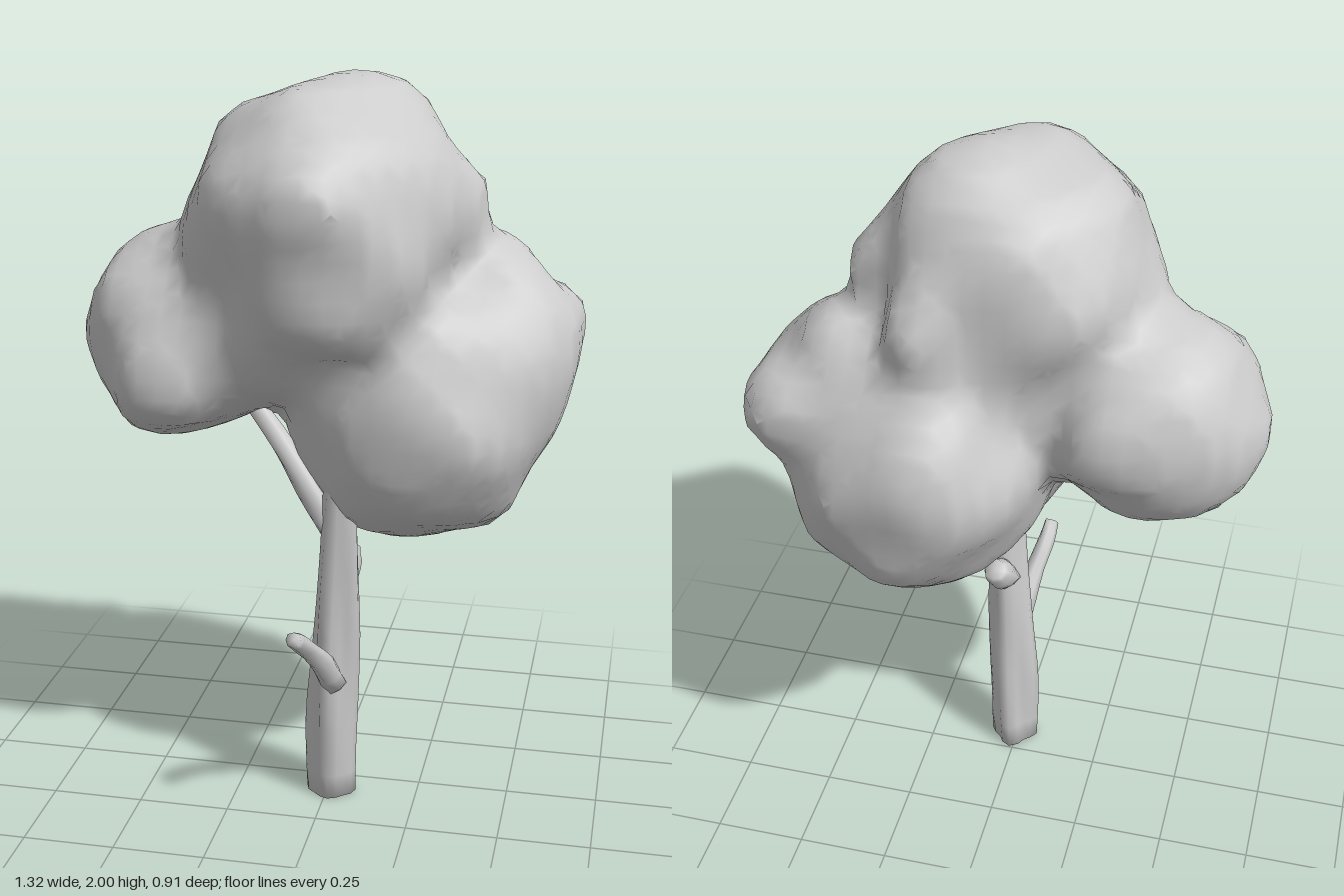
import * as THREE from 'three';

const bark = new THREE.MeshStandardMaterial({ color: 0xcccccc });
const leaves = new THREE.MeshStandardMaterial({ color: 0xcccccc });

function buildMesh(name, positions, indices, material) {
  const geo = new THREE.BufferGeometry();
  geo.setAttribute('position', new THREE.Float32BufferAttribute(positions, 3));
  geo.setIndex(indices);
  geo.computeVertexNormals();
  const mesh = new THREE.Mesh(geo, material);
  mesh.name = name;
  return mesh;
}

// Tapered, ridged limb along a curve; each point is [x, y, z, radius]
function limb(name, points, rings, sides, ridge) {
  const curve = new THREE.CatmullRomCurve3(points.map(p => new THREE.Vector3(p[0], p[1], p[2])));
  const frames = curve.computeFrenetFrames(rings);
  const positions = [], indices = [];
  for (let i = -1; i <= rings + 1; i++) {
    const k = Math.min(Math.max(i, 0), rings);
    const t = k / rings;
    const seg = Math.min(Math.floor(t * (points.length - 1)), points.length - 2);
    const f = t * (points.length - 1) - seg;
    // The extra first and last rings collapse to a point and close the ends
    const radius = i === k ? THREE.MathUtils.lerp(points[seg][3], points[seg + 1][3], f) : 0;
    const centre = curve.getPoint(t);
    for (let j = 0; j < sides; j++) {
      const a = (j / sides) * Math.PI * 2;
      const r = radius * (1 + ridge * Math.cos(4 * a + t * 2) + ridge * 0.5 * Math.sin(3 * a + t * 9));
      const v = centre.clone()
        .addScaledVector(frames.normals[k], Math.cos(a) * r)
        .addScaledVector(frames.binormals[k], Math.sin(a) * r);
      positions.push(v.x, Math.max(v.y, 0), v.z);
      if (i <= rings) {
        const row = (i + 1) * sides, n = (j + 1) % sides;
        indices.push(row + j, row + n, row + sides + j, row + n, row + sides + n, row + sides + j);
      }
    }
  }
  return buildMesh(name, positions, indices, bark);
}

// Leaf masses: centre x, y, z and radii x, y, z
const lobes = [
  // top mass, its crest, front bulge, front underside and side bumps
  [0.0, 1.65, 0.07, 0.345, 0.335, 0.33],
  [0.08, 1.82, 0.01, 0.18, 0.17, 0.175],
  [-0.01, 1.69, 0.25, 0.205, 0.19, 0.198],
  [0.02, 1.5, 0.22, 0.23, 0.19, 0.2],
  [-0.17, 1.59, 0.14, 0.18, 0.18, 0.18],
  [0.31, 1.67, -0.04, 0.09, 0.1, 0.1],
  [0.16, 1.58, -0.18, 0.12, 0.16, 0.135],
  // bridges between the masses
  [0.0, 1.41, -0.05, 0.23, 0.2, 0.16],
  [-0.17, 1.34, 0.12, 0.16, 0.17, 0.16],
  [0.4, 1.46, -0.1, 0.13, 0.12, 0.14],
  // left side mass
  [-0.385, 1.31, 0.0, 0.283, 0.29, 0.265],
  [-0.4, 1.24, 0.17, 0.15, 0.15, 0.15],
  [-0.28, 1.33, -0.17, 0.11, 0.13, 0.12],
  // right side mass
  [0.23, 1.145, -0.05, 0.355, 0.395, 0.375],
  [0.16, 1.2, -0.27, 0.18, 0.2, 0.185],
  [0.47, 1.26, -0.05, 0.19, 0.19, 0.19],
  [0.54, 1.34, -0.22, 0.115, 0.11, 0.11],
];

// Smoothly merged distance to the leaf masses, with gentle lumps
function foliageField(x, y, z) {
  const k = 36;
  let sum = 0;
  for (const [cx, cy, cz, rx, ry, rz] of lobes) {
    const d = (Math.hypot((x - cx) / rx, (y - cy) / ry, (z - cz) / rz) - 1) * Math.min(rx, ry, rz);
    sum += Math.exp(-k * d);
  }
  const lumps = Math.sin(13 * x + 4 * y + 1) * Math.sin(14 * y - 3 * z) * Math.sin(12 * z + 5 * x + 2);
  return -Math.log(sum) / k + 0.022 * lumps;
}

// Skins the field with one vertex per crossed grid cell
function foliage() {
  const step = 0.05, min = [-0.87, 0.57, -0.66], size = [35, 33, 27];
  const at = (i, j, k) => (i * size[1] + j) * size[2] + k;
  const field = [], cellVertex = [], positions = [], indices = [];
  const forGrid = (start, trim, fn) => {
    for (let i = start; i < size[0] - trim; i++)
      for (let j = start; j < size[1] - trim; j++)
        for (let k = start; k < size[2] - trim; k++) fn([i, j, k]);
  };
  forGrid(0, 0, g => {
    field[at(...g)] = foliageField(...g.map((n, a) => min[a] + n * step));
  });
  forGrid(0, 1, g => {
    const sum = [0, 0, 0];
    let count = 0;
    for (let c = 0; c < 8; c++)
      for (let a = 0; a < 3; a++) {
        if (c & (1 << a)) continue;
        const p = g.map((n, b) => n + ((c >> b) & 1));
        const q = p.slice();
        q[a]++;
        const d0 = field[at(...p)], d1 = field[at(...q)];
        if ((d0 < 0) === (d1 < 0)) continue;
        p[a] += d0 / (d0 - d1);
        for (let b = 0; b < 3; b++) sum[b] += p[b];
        count++;
      }
    if (!count) return;
    cellVertex[at(...g)] = positions.length / 3;
    positions.push(...sum.map((s, a) => min[a] + (s / count) * step));
  });
  forGrid(1, 1, g => {
    for (let a = 0; a < 3; a++) {
      const q = g.slice();
      q[a]++;
      const inside = field[at(...g)] < 0;
      if (inside === field[at(...q)] < 0) continue;
      const cell = (db, dc) => {
        const p = g.slice();
        p[(a + 1) % 3] -= db;
        p[(a + 2) % 3] -= dc;
        return cellVertex[at(...p)];
      };
      const quad = [cell(1, 1), cell(0, 1), cell(0, 0), cell(1, 0)];
      if (!inside) quad.reverse();
      indices.push(quad[0], quad[1], quad[2], quad[0], quad[2], quad[3]);
    }
  });
  return buildMesh('foliage', positions, indices, leaves);
}

export function createModel() {
  const tree = new THREE.Group();
  tree.name = 'tree';
  tree.add(
    foliage(),
    limb('trunk', [
      [0.01, 0.0, 0.075, 0.062], [0.016, 0.25, 0.083, 0.067], [0.027, 0.5, 0.101, 0.061],
      [0.042, 0.8, 0.126, 0.048], [0.05, 1.1, 0.135, 0.042],
    ], 14, 16, 0.12),
    // Bough reaching into the side leaf mass
    limb('bough', [
      [0.03, 0.78, 0.11, 0.032], [-0.04, 0.9, 0.1, 0.036], [-0.12, 1.02, 0.08, 0.03], [-0.23, 1.16, 0.05, 0.026],
    ], 8, 8, 0.08),
    limb('frontBranch', [
      [0.025, 0.36, 0.13, 0.036], [0.01, 0.44, 0.19, 0.034], [-0.01, 0.51, 0.26, 0.026],
      [-0.025, 0.56, 0.32, 0.025], [-0.03, 0.595, 0.375, 0.021],
    ], 8, 8, 0.08),
    limb('backBranch', [
      [0.03, 0.61, 0.085, 0.034], [0.035, 0.645, 0.045, 0.042], [0.04, 0.68, 0.01, 0.042], [0.045, 0.71, -0.015, 0.03],
    ], 6, 8, 0.08),
  );
  return tree;
}
